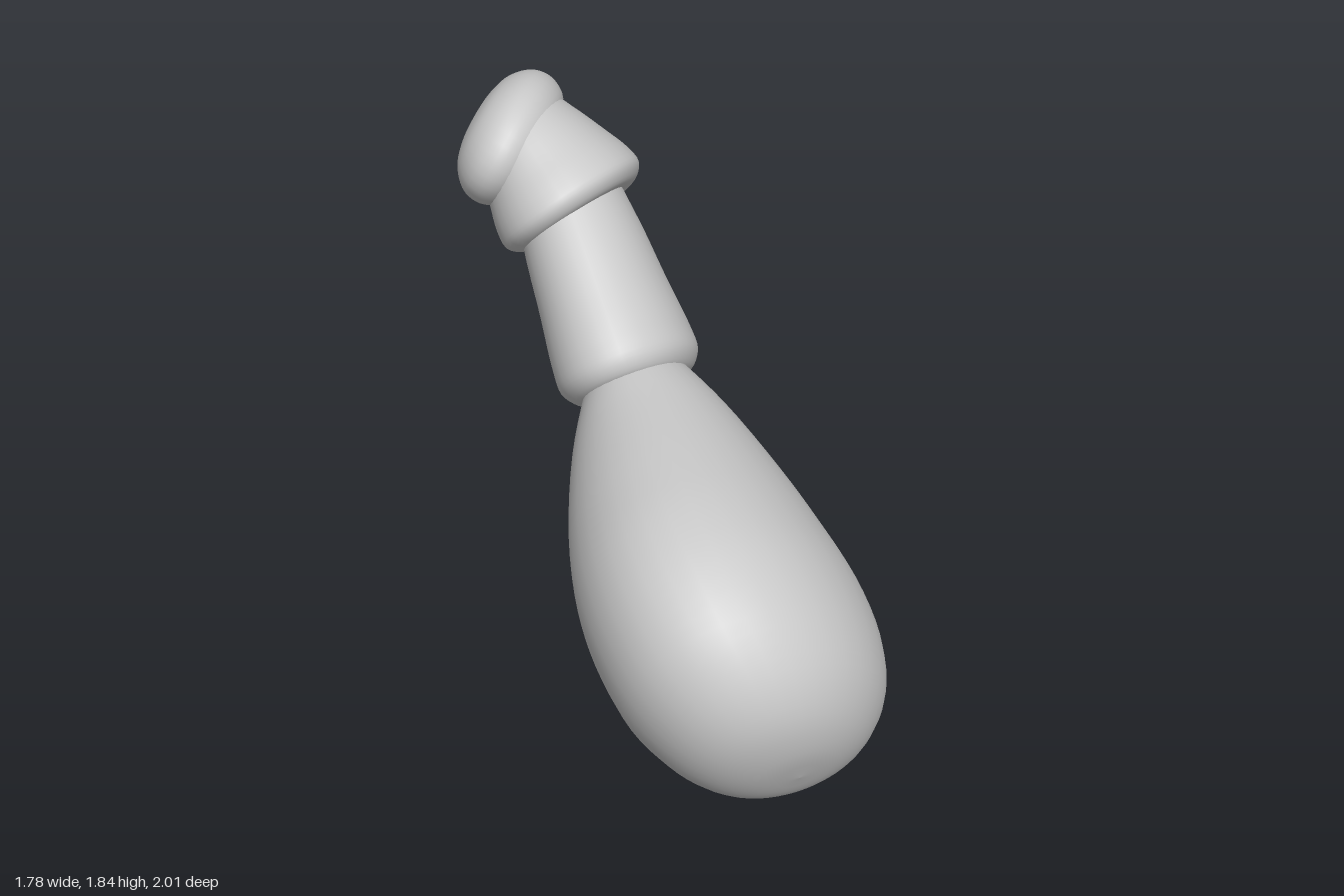
import * as THREE from 'three';

const SIDES = 36;
const material = new THREE.MeshStandardMaterial({ color: 0xcccccc });

// Smooth oval loft: profile rows are
// [distance along axis, long radius, short radius, shift along long, shift along short]
function ovalLoft(name, center, axis, longHint, profile) {
  const c = new THREE.Vector3(...center);
  const d = new THREE.Vector3(...axis).normalize();
  const u = new THREE.Vector3(...longHint);
  u.addScaledVector(d, -u.dot(d)).normalize();
  const v = new THREE.Vector3().crossVectors(d, u);

  const steps = (profile.length - 1) * 4;
  const sizes = new THREE.CatmullRomCurve3(
    profile.map(([t, a, b]) => new THREE.Vector3(t, a, b))).getPoints(steps);
  const shifts = new THREE.CatmullRomCurve3(
    profile.map(([t, , , su = 0, sv = 0]) => new THREE.Vector3(t, su, sv))).getPoints(steps);
  const positions = [];
  const indices = [];
  sizes.forEach((row, i) => {
    for (let j = 0; j < SIDES; j++) {
      const a = (j / SIDES) * Math.PI * 2;
      const p = c.clone()
        .addScaledVector(d, row.x)
        .addScaledVector(u, shifts[i].y + Math.max(row.y, 0.001) * Math.cos(a))
        .addScaledVector(v, shifts[i].z + Math.max(row.z, 0.001) * Math.sin(a));
      positions.push(p.x, p.y, p.z);
      if (i === steps) continue;
      const k = (j + 1) % SIDES;
      const a0 = i * SIDES + j, a1 = i * SIDES + k;
      const b0 = a0 + SIDES, b1 = a1 + SIDES;
      indices.push(a0, a1, b1, a0, b1, b0);
    }
  });
  const geometry = new THREE.BufferGeometry();
  geometry.setAttribute('position', new THREE.Float32BufferAttribute(positions, 3));
  geometry.setIndex(indices);
  geometry.computeVertexNormals();
  const mesh = new THREE.Mesh(geometry, material);
  mesh.name = name;
  return mesh;
}

export function createModel() {
  const group = new THREE.Group();
  group.name = 'segmentedClub';

  // Large pear-shaped bulb, its narrow neck tucked into the shaft
  group.add(ovalLoft('bulb', [0.395, 0.62, 0.375], [0.585, -0.425, 0.69], [-0.07, 0.74, 0.67], [
    [-1.05, 0, 0, 0, 0], [-1.0, 0.16, 0.12, 0, 0], [-0.9, 0.235, 0.175, 0, 0.01],
    [-0.7, 0.345, 0.27, 0, 0.03], [-0.4, 0.505, 0.365, 0.01, 0.045], [-0.18, 0.605, 0.41, 0.015, 0.045],
    [0.02, 0.65, 0.43, 0.015, 0.035], [0.22, 0.63, 0.415, 0.015, 0.025], [0.38, 0.53, 0.355, 0.02, 0.015],
    [0.49, 0.385, 0.26, 0.025, 0.015], [0.55, 0.2, 0.14, 0.025, 0.015], [0.565, 0, 0, 0.025, 0.015],
  ]));

  // Tapering shaft with a rounded lip around the neck
  group.add(ovalLoft('shaft', [-0.18, 1.025, -0.295], [-0.51, 0.69, -0.52], [0.08, 0.61, 0.79], [
    [-0.06, 0, 0], [-0.075, 0.22, 0.15], [-0.06, 0.32, 0.205], [-0.01, 0.36, 0.24], [0.07, 0.36, 0.24],
    [0.25, 0.33, 0.22], [0.5, 0.285, 0.195], [0.66, 0.24, 0.16], [0.68, 0, 0],
  ]));

  // Flared cuff over the shaft's upper end
  group.add(ovalLoft('cuff', [-0.485, 1.425, -0.625], [-0.67, 0.67, -0.3], [0.1, 0.5, 0.86], [
    [-0.04, 0, 0], [-0.055, 0.24, 0.16], [-0.05, 0.33, 0.225], [-0.01, 0.37, 0.265], [0.05, 0.36, 0.26],
    [0.14, 0.325, 0.23], [0.26, 0.28, 0.185], [0.33, 0.23, 0.15], [0.34, 0, 0],
  ]));

  // Flattened end knob
  group.add(ovalLoft('endKnob', [-0.715, 1.61, -0.68], [-0.89, 0.42, 0.03], [0.16, 0.2, 0.97], [
    [-0.12, 0, 0], [-0.11, 0.2, 0.14], [-0.08, 0.29, 0.2], [-0.02, 0.325, 0.23], [0.04, 0.31, 0.225],
    [0.1, 0.24, 0.175], [0.13, 0.14, 0.1], [0.14, 0, 0],
  ]));

  return group;
}
